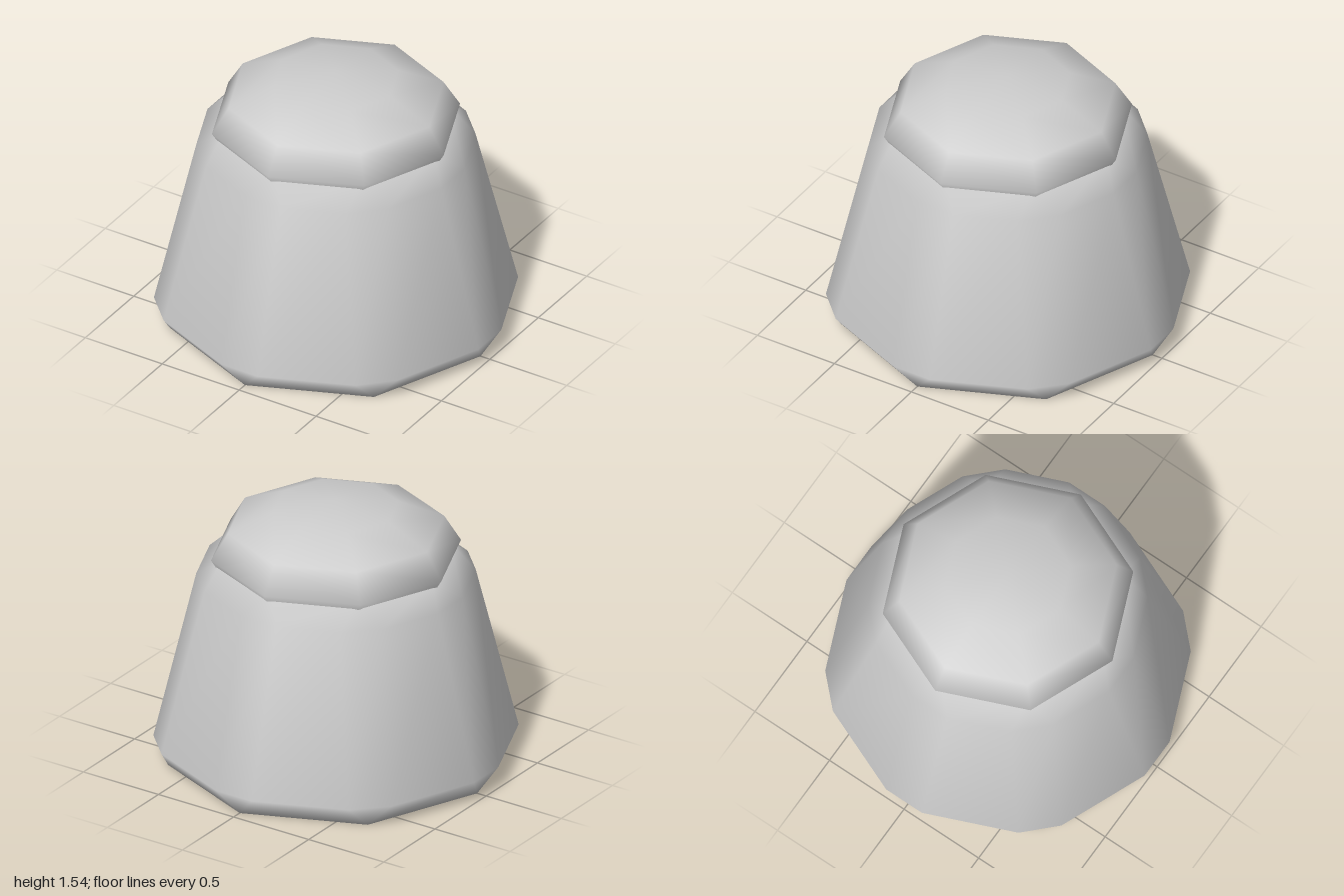
import * as THREE from 'three';
import { mergeVertices } from 'three/addons/utils/BufferGeometryUtils.js';

const material = new THREE.MeshStandardMaterial({ color: 0xcccccc });

// Octagonal solid whose corners are cut flat; each ring is [radius, y, half width of the cut]
function cutOctagon(rings) {
  const positions = [], index = [], n = 16;
  for (const [r, y, w] of rings) {
    for (let k = 0; k < 8; k++) {
      const a = (k * Math.PI) / 4, c = Math.cos(a), s = Math.sin(a);
      for (const side of [-w, w]) positions.push(r * c - side * s, y, r * s + side * c);
    }
  }
  for (let i = 0; i < rings.length - 1; i++) {
    for (let j = 0; j < n; j++) {
      const a = i * n + j, b = i * n + ((j + 1) % n);
      index.push(a, a + n, b, b, a + n, b + n);
    }
  }
  const geometry = new THREE.BufferGeometry();
  geometry.setAttribute('position', new THREE.Float32BufferAttribute(positions, 3));
  geometry.setIndex(index);
  const merged = mergeVertices(geometry, 1e-4);
  merged.computeVertexNormals();
  return merged;
}

export function createModel() {
  const group = new THREE.Group();

  // Tapered body with bevelled corners and rims
  const body = new THREE.Mesh(cutOctagon([
    [0, 0, 0],
    [0.94, 0, 0],
    [1.0, 0.13, 0.12],
    [0.76, 1.1, 0.12],
    [0.64, 1.22, 0],
    [0, 1.22, 0],
  ]), material);
  body.name = 'body';
  group.add(body);

  // Flattened eight-sided dome sunk into the top of the body
  const dome = new THREE.SphereGeometry(0.7, 8, 6);
  dome.scale(1, 0.31 / 0.7, 1);
  const cap = new THREE.Mesh(dome, material);
  cap.name = 'cap';
  cap.position.y = 1.23;
  group.add(cap);

  return group;
}
